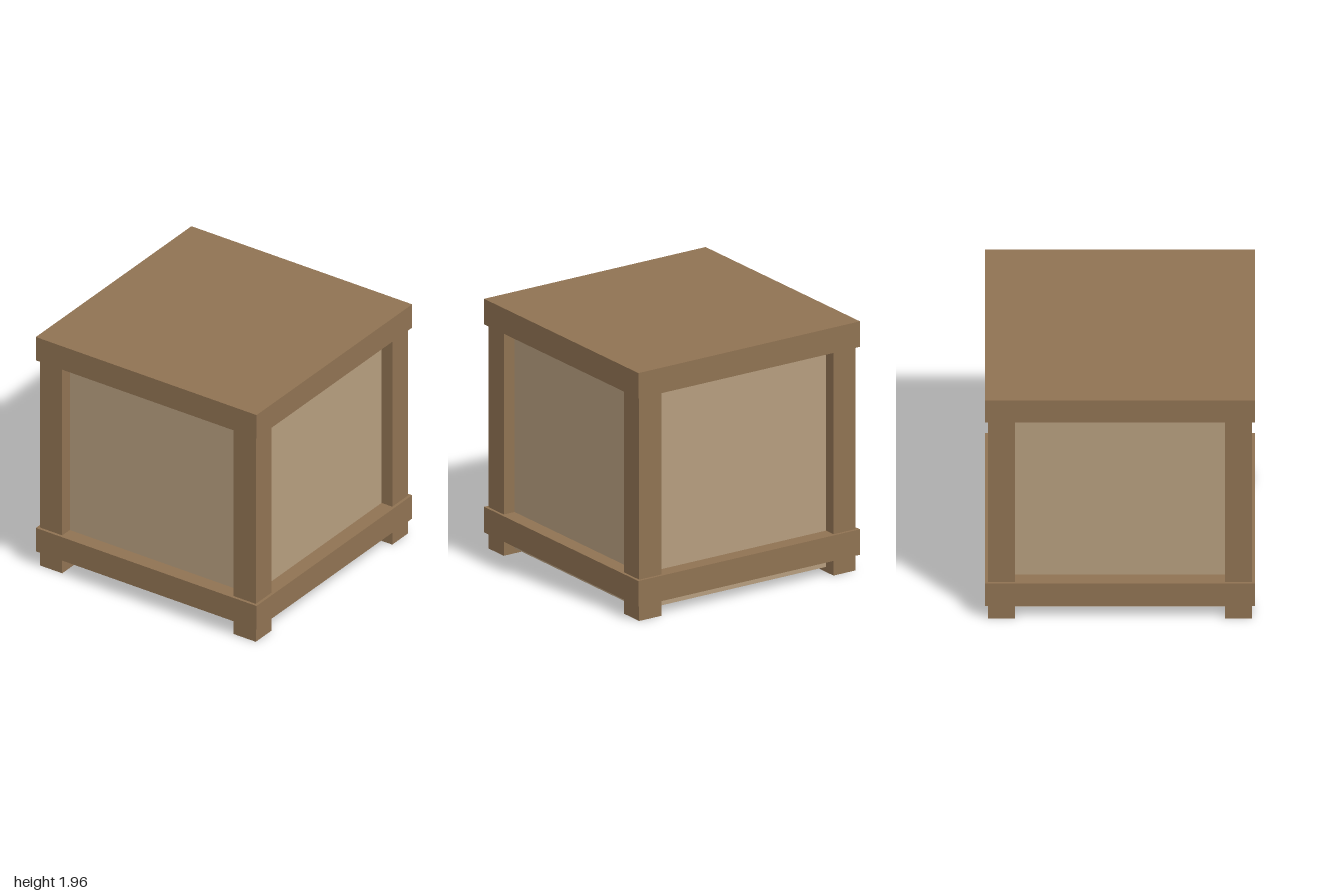
import * as THREE from 'three';

export function createModel() {
  const model = new THREE.Group();
  const frameWood = new THREE.MeshStandardMaterial({ color: 0x8f7252 });
  const panelWood = new THREE.MeshStandardMaterial({ color: 0xb59d7e });

  // Square upright block of a given width, spanning bottom to top
  function block(name, width, bottom, top, material, x = 0, z = 0) {
    const mesh = new THREE.Mesh(new THREE.BoxGeometry(width, top - bottom, width), material);
    mesh.name = name;
    mesh.position.set(x, (bottom + top) / 2, z);
    model.add(mesh);
  }

  // Recessed panels and underside
  block('panelBody', 1.76, 0.04, 1.8, panelWood);

  // Lid and lower band
  block('lid', 2, 1.76, 1.96, frameWood);
  block('lowerBand', 2, 0.125, 0.325, frameWood);

  // Corner posts, standing out as feet below
  for (const x of [-1, 1]) {
    for (const z of [-1, 1]) {
      const name = (z > 0 ? 'front' : 'back') + (x > 0 ? 'Left' : 'Right') + 'Post';
      block(name, 0.2, 0, 1.78, frameWood, x * 0.877, z * 0.877);
    }
  }

  return model;
}
